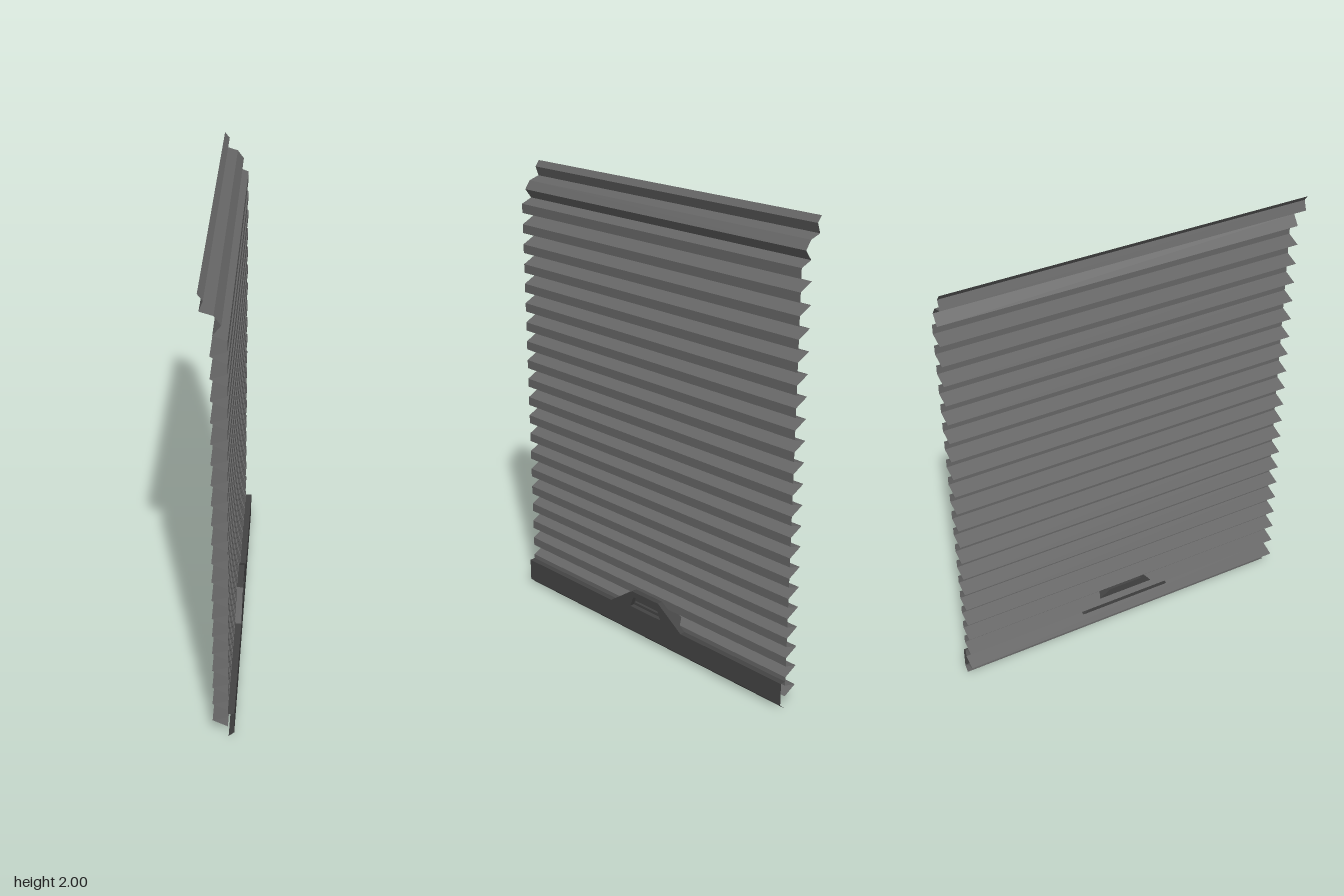
import * as THREE from 'three';

const HALF = 0.775; // half the width of the blind along z

// Sheet swept along z from a top-to-bottom list of [x, y] profile points
function sheet(name, profile, material) {
  const pos = [];
  for (let i = 0; i < profile.length - 1; i++) {
    const [ax, ay] = profile[i], [bx, by] = profile[i + 1];
    pos.push(ax, ay, HALF, bx, by, HALF, bx, by, -HALF);
    pos.push(ax, ay, HALF, bx, by, -HALF, ax, ay, -HALF);
  }
  const geo = new THREE.BufferGeometry();
  geo.setAttribute('position', new THREE.Float32BufferAttribute(pos, 3));
  geo.computeVertexNormals();
  const mesh = new THREE.Mesh(geo, material);
  mesh.name = name;
  return mesh;
}

// Symmetric trapezoid outline
function trapezoid(Type, bottom, top, y0, y1) {
  return new Type([[-bottom, y0], [bottom, y0], [top, y1], [-top, y1]]
    .map(([x, y]) => new THREE.Vector2(x, y)));
}

// Plate facing +x between two x positions
function plate(name, shape, x0, x1, material) {
  const geo = new THREE.ExtrudeGeometry(shape, { depth: x1 - x0, bevelEnabled: false });
  geo.rotateY(Math.PI / 2);
  geo.translate(x0, 0, 0);
  const mesh = new THREE.Mesh(geo, material);
  mesh.name = name;
  return mesh;
}

export function createModel() {
  const fabric = new THREE.MeshStandardMaterial({ color: 0x666666, side: THREE.DoubleSide });
  fabric.name = 'fabric grey';
  const rail = new THREE.MeshStandardMaterial({ color: 0x444444, side: THREE.DoubleSide });
  rail.name = 'rail dark grey';

  const model = new THREE.Group();
  model.name = 'pleatedBlind';

  // Stepped folds at the top
  model.add(sheet('headFolds', [
    [-0.065, 2], [-0.045, 1.975], [-0.06, 1.935], [-0.01, 1.92],
    [0.016, 1.885], [-0.015, 1.845],
  ], fabric));

  // Pleats: flat outer edge, pointed inner edge
  const pleats = [[-0.015, 1.845], [0.037, 1.825]];
  const pitch = 0.0885;
  for (let i = 0; i < 20; i++) {
    const y = 1.785 - i * pitch;
    pleats.push([0.037, y], [-0.025, y - 0.02], [0.037, y - 0.05]);
  }
  model.add(sheet('pleats', pleats, fabric));

  // Bottom rail with top flange and inward lower lip
  model.add(sheet('bottomRail', [
    [0.037, 0.122], [0.063, 0.122], [0.063, 0.022], [0.04, 0],
  ], rail));

  // Handle with a recessed finger grip
  const handle = new THREE.Group();
  handle.name = 'handle';
  const face = trapezoid(THREE.Shape, 0.215, 0.08, 0.122, 0.216);
  face.holes.push(trapezoid(THREE.Path, 0.092, 0.072, 0.14, 0.19));
  handle.add(plate('handleFace', face, 0.043, 0.063, rail));
  handle.add(plate('handleBack', trapezoid(THREE.Shape, 0.215, 0.08, 0.122, 0.216), 0.003, 0.043, rail));
  const grip = new THREE.Mesh(new THREE.BoxGeometry(0.012, 0.012, 0.15), rail);
  grip.name = 'fingerGrip';
  grip.position.set(0.049, 0.156, 0);
  handle.add(grip);
  model.add(handle);

  return model;
}
